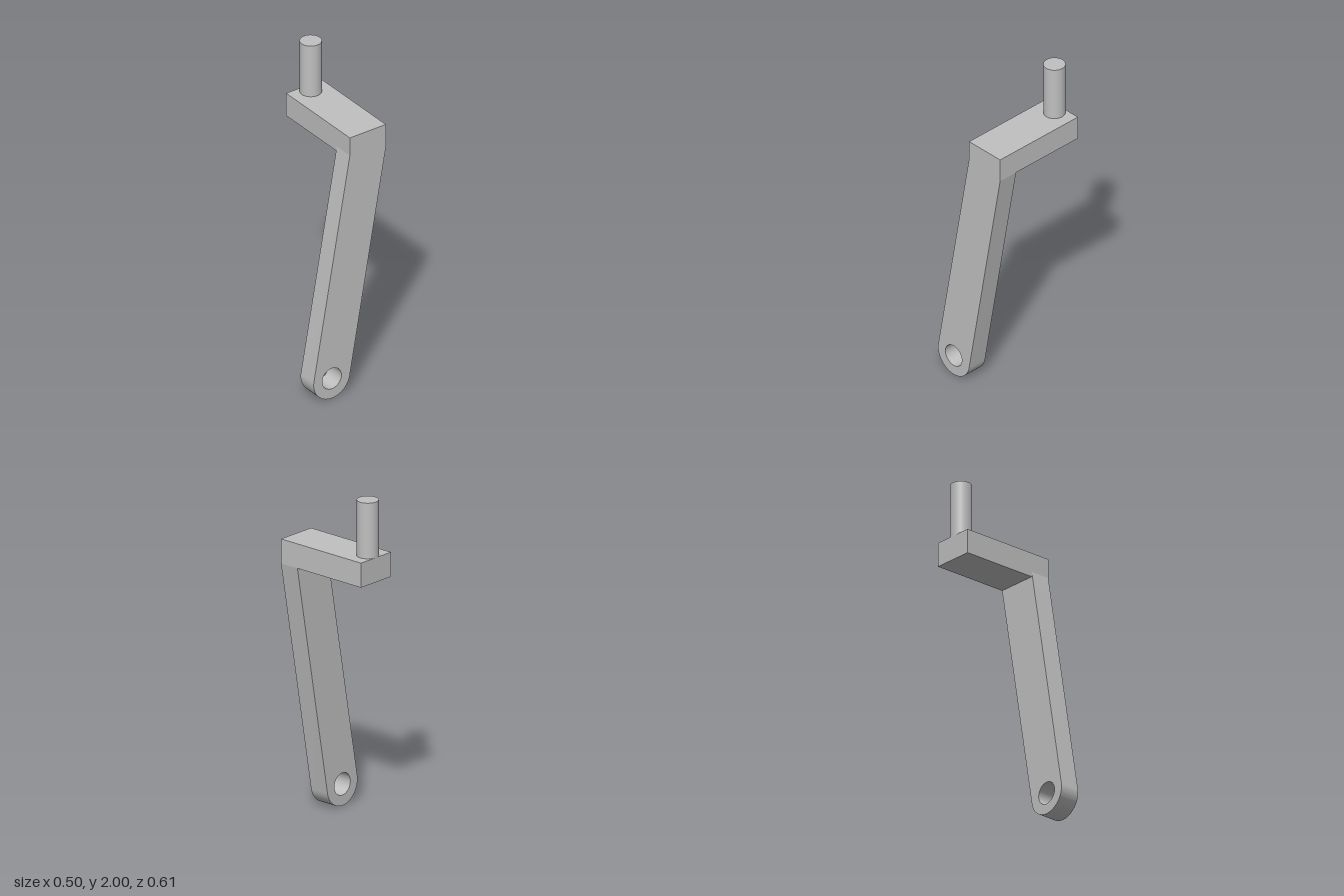
import * as THREE from 'three';
import { toCreasedNormals } from 'three/addons/utils/BufferGeometryUtils.js';

export function createModel() {
  const group = new THREE.Group();
  const steel = new THREE.MeshStandardMaterial({ color: 0xc0c0c0 });
  steel.name = 'plain grey steel';

  const add = (name, geometry, x, y, z) => {
    const mesh = new THREE.Mesh(geometry, steel);
    mesh.name = name;
    mesh.position.set(x, y, z);
    group.add(mesh);
  };

  const front = 0.305, armBack = 0.18;
  const top = 1.667, under = 1.52;
  const width = 0.252;

  // Leaning arm with a rounded, pierced lower end
  const cx = -0.126, cy = 0.127, r = 0.127, lean = 0.177;
  const profile = new THREE.Shape();
  profile.moveTo(width, under);
  profile.lineTo(width, top);
  profile.lineTo(0, top);
  profile.lineTo(0, 1.55);
  profile.absarc(cx, cy, r, Math.PI - lean, 2 * Math.PI - lean, false);
  profile.closePath();
  const hole = new THREE.Path();
  hole.absarc(cx, cy + 0.002, 0.067, 0, Math.PI * 2, true);
  profile.holes.push(hole);
  const arm = new THREE.ExtrudeGeometry(profile, {
    depth: front - armBack, bevelEnabled: false, curveSegments: 32,
  });
  add('arm', toCreasedNormals(arm, 0.15), 0, 0, armBack);

  // Ledge running back from the top of the arm
  const ledgeDepth = armBack + front;
  add('ledge', new THREE.BoxGeometry(width, top - under, ledgeDepth),
    width / 2, (top + under) / 2, armBack - ledgeDepth / 2);

  // Upright pin at the back of the ledge
  add('pin', new THREE.CylinderGeometry(0.063, 0.063, 2 - top, 48),
    0.126, (2 + top) / 2, -0.242);

  return group;
}
